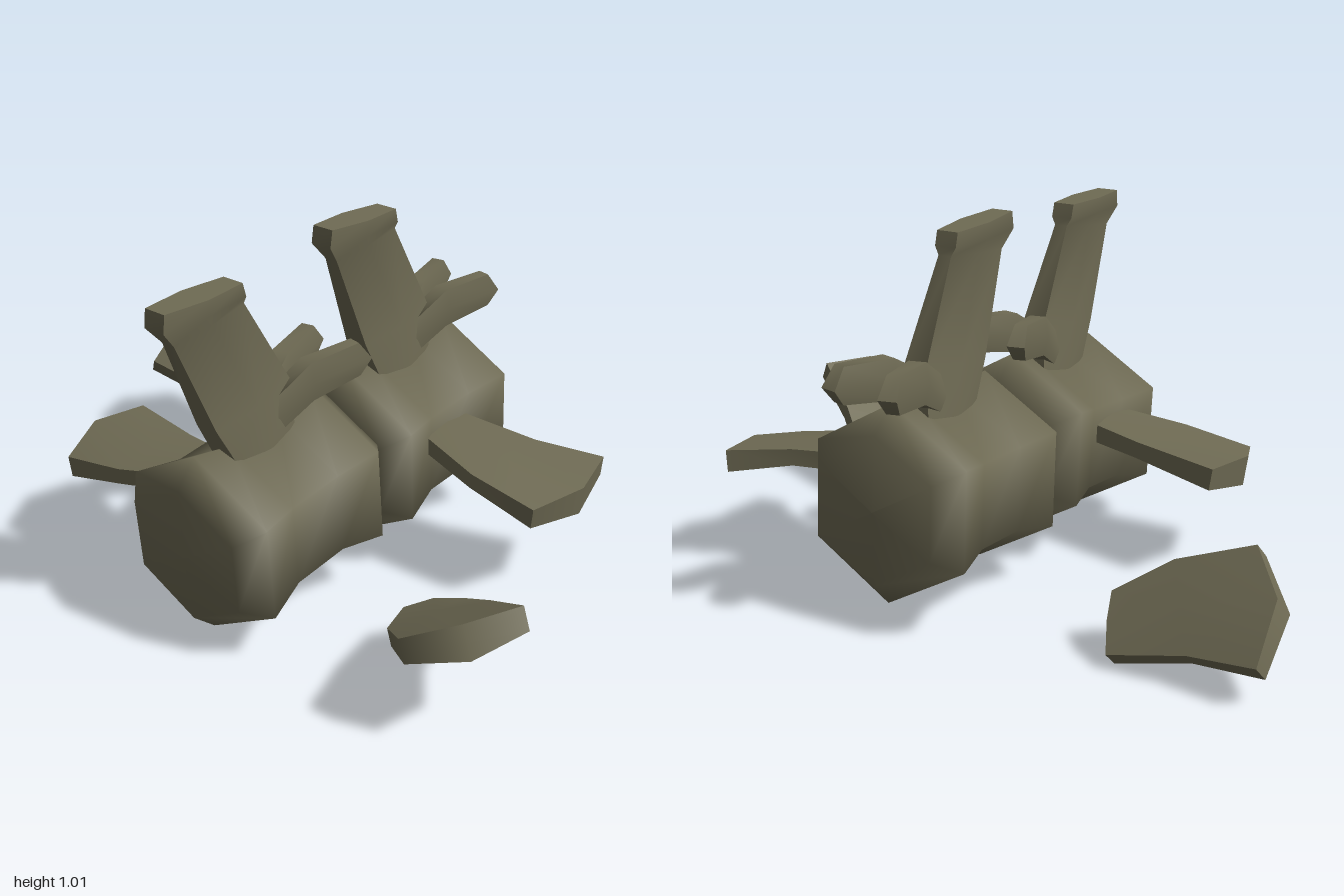
import * as THREE from 'three';
import { toCreasedNormals } from 'three/addons/utils/BufferGeometryUtils.js';

const bone = new THREE.MeshStandardMaterial({ color: 0x6f6b54 });
bone.name = 'olive bone';

// Flat tapering blade through sections [edgeA, middle, edgeB, halfThickness];
// a null middle is the midpoint of the edges.
function blade(name, sections) {
  const V = (p) => new THREE.Vector3(...p);
  const secs = sections.map(([a, m, b, t]) => {
    const A = V(a), B = V(b);
    return { A, B, M: m ? V(m) : A.clone().lerp(B, 0.5), t };
  });
  const first = secs[0], last = secs[secs.length - 1];
  const n = last.B.clone().sub(last.A).add(first.B).sub(first.A)
    .cross(last.M.clone().sub(first.M)).normalize();
  const pos = [], idx = [], edge = 0.7;
  for (const { A, M, B, t } of secs) {
    for (const [p, k] of [[A, edge], [M, 1], [B, edge], [B, -edge], [M, -1], [A, -edge]]) {
      pos.push(...p.clone().addScaledVector(n, k * t).toArray());
    }
  }
  const start = secs.length * 6, end = start + 1, top = start - 6;
  pos.push(...first.M.toArray(), ...last.M.toArray());
  for (let i = 0; i < 6; i++) {
    const j = (i + 1) % 6;
    for (let s = 0; s < secs.length - 1; s++) {
      const a = s * 6 + i, b = s * 6 + j;
      idx.push(a, b, b + 6, a, b + 6, a + 6);
    }
    idx.push(start, j, i, end, top + i, top + j);
  }
  const geo = new THREE.BufferGeometry();
  geo.setAttribute('position', new THREE.Float32BufferAttribute(pos, 3));
  geo.setIndex(idx);
  const mesh = new THREE.Mesh(toCreasedNormals(geo, 1.1), bone);
  mesh.name = name;
  return mesh;
}

// Waisted six-sided body with a tall forward-leaning spine and two rear facets
function vertebra(name, position, pitch, yaw) {
  const g = new THREE.Group();
  g.name = name;

  const profile = [[0, -0.297], [0.2, -0.288], [0.27, -0.22], [0.233, -0.09],
    [0.233, 0.09], [0.27, 0.22], [0.2, 0.288], [0, 0.297]]
    .map(([r, h]) => new THREE.Vector2(r, h));
  const body = new THREE.Mesh(new THREE.LatheGeometry(profile, 6).rotateX(Math.PI / 2), bone);
  body.name = 'vertebraBody';
  g.add(body);

  g.add(blade('topSpine', [
    [[0, 0.2, 0.11], null, [0, 0.2, -0.11], 0.06],
    [[0, 0.325, 0.165], null, [0, 0.336, -0.12], 0.05],
    [[0, 0.607, 0.257], null, [0, 0.617, 0.01], 0.028],
    [[0, 0.66, 0.295], null, [0, 0.64, 0.012], 0.046],
    [[0, 0.708, 0.285], null, [0, 0.68, 0.02], 0.046],
  ]));

  for (const s of [1, -1]) {
    g.add(blade(s > 0 ? 'leftFacet' : 'rightFacet', [
      [[s * 0.02, 0.32, -0.06], null, [s * 0.02, 0.21, -0.04], 0.03],
      [[s * 0.045, 0.377, -0.17], null, [s * 0.045, 0.265, -0.17], 0.034],
      [[s * 0.083, 0.377, -0.325], [s * 0.09, 0.32, -0.36], [s * 0.083, 0.278, -0.325], 0.026],
    ]));
  }

  g.position.set(...position);
  g.rotation.set(pitch, yaw, 0, 'YXZ');
  return g;
}

// Side wing: root edge pair, middle edge pair, then the broad pointed tip
function sideWing(name, root, mid, tip) {
  return blade(name, [
    [root[0], null, root[1], 0.038],
    [mid[0], null, mid[1], 0.033],
    [...tip, 0.044],
  ]);
}

export function createModel() {
  const model = new THREE.Group();
  model.name = 'spineSection';

  model.add(vertebra('frontVertebra', [0.112, 0.293, 0.267], 0.1, 0.13));
  model.add(vertebra('rearVertebra', [0.033, 0.317, -0.31], 0.06, 0.13));

  // Attached side wings
  model.add(sideWing('frontRightWing',
    [[0, 0.348, 0.24], [0, 0.348, 0.39]],
    [[-0.24, 0.325, 0.225], [-0.24, 0.31, 0.48]],
    [[-0.505, 0.305, 0.2], [-0.52, 0.29, 0.36], [-0.44, 0.27, 0.51]]));
  model.add(sideWing('rearLeftWing',
    [[0.15, 0.36, -0.39], [0.15, 0.36, -0.24]],
    [[0.44, 0.34, -0.46], [0.44, 0.325, -0.2]],
    [[0.61, 0.315, -0.55], [0.67, 0.29, -0.39], [0.635, 0.28, -0.23]]));

  // Separated side wings
  model.add(sideWing('looseLeftWing',
    [[0.64, 0.115, 0.02], [0.55, 0.1, 0.15]],
    [[0.81, 0.24, 0.115], [0.635, 0.15, 0.295]],
    [[0.98, 0.335, 0.19], [0.94, 0.32, 0.35], [0.8, 0.255, 0.42]]));
  model.add(sideWing('looseRightWing',
    [[-0.515, 0.13, -0.25], [-0.585, 0.02, -0.37]],
    [[-0.65, 0.23, -0.175], [-0.79, 0.07, -0.33]],
    [[-0.845, 0.295, -0.105], [-0.96, 0.21, -0.19], [-0.98, 0.09, -0.32]]));

  return model;
}
